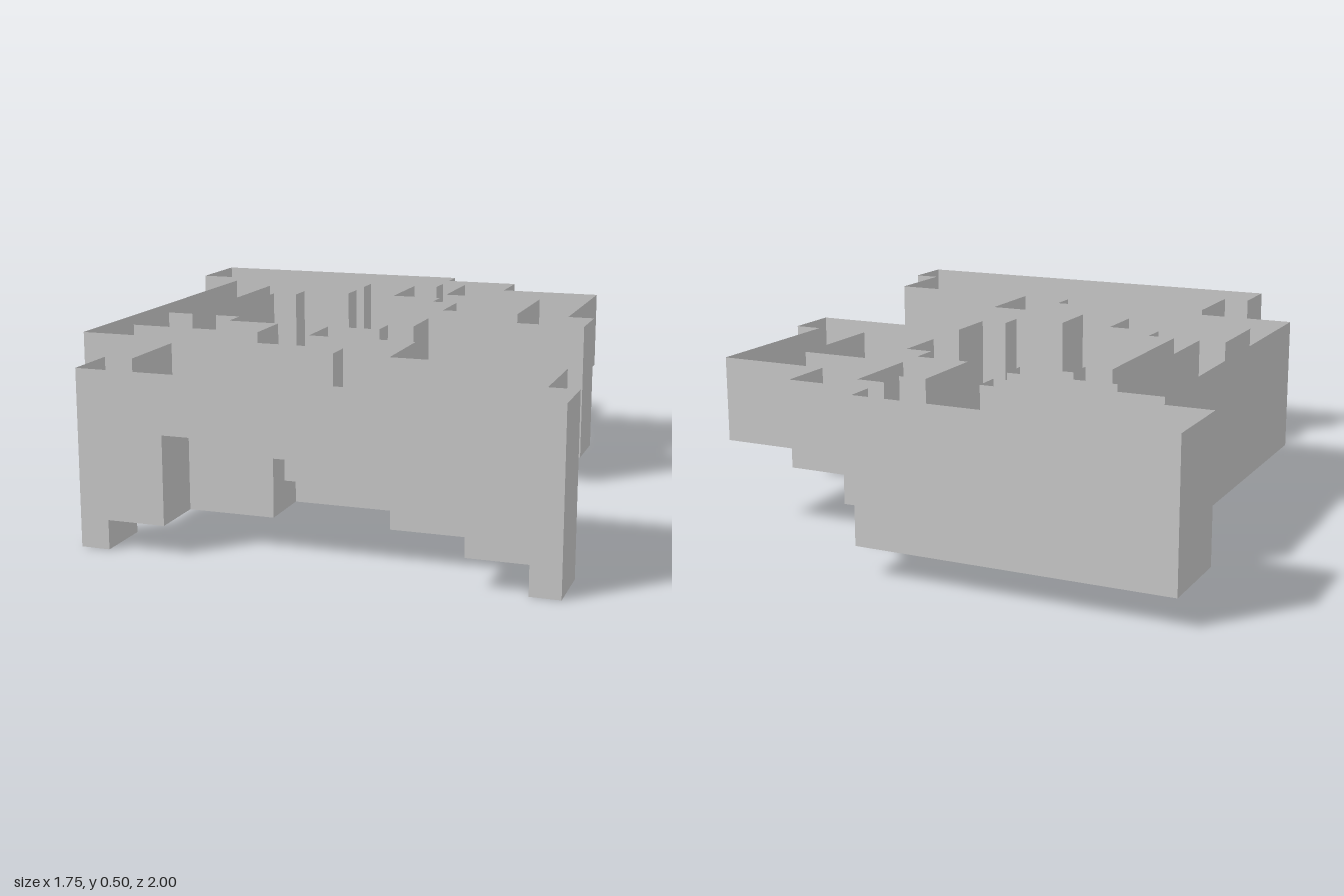
import * as THREE from 'three';
import { mergeGeometries } from 'three/addons/utils/BufferGeometryUtils.js';

const U = 1 / 12;          // one grid cell
const COLS = 21, ROWS = 24; // plan size in cells
const WALL_TOP = 6;

// Open-topped rooms on a square plan: name, x0, z0, x1, z1, floor level (later ones replace earlier cells)
const AREAS = [
  ['backRoom', 0, 0, 11, 3, 1],
  ['backPassage', 8, 3, 10, 6, 1],
  ['centralRoom', 6, 6, 12, 14, 1],
  ['centralRoom', 5, 7, 13, 13, 1],
  ['frontPassage', 8, 14, 10, 16, 1],
  ['crossCorridor', 2, 16, 14, 18, 1],
  ['hallEntrance', 12, 18, 14, 19, 1],
  // corridor with a raised ledge and its step
  ['sideCorridor', 2, 4, 8, 5, 1],
  ['sideCorridor', 2, 5, 4, 8, 1],
  ['sideCorridor', 2, 8, 3, 16, 1],
  ['ledgeStep', 3, 8, 4, 9, 2],
  ['ledge', 3, 9, 4, 13, 3],
  // raised winding corridor with a step at each end
  ['alcove', 13, 9, 19, 11, 1],
  ['lowerStep', 16, 8, 18, 9, 2],
  ['raisedCorridor', 16, 5, 18, 8, 3],
  ['raisedCorridor', 12, 3, 18, 5, 3],
  ['raisedCorridor', 12, 1, 14, 3, 3],
  ['doorStep', 11, 1, 12, 2, 2],
  // front hall with stage, stairs and sunken corners
  ['frontHall', 6, 19, 20, 24, 1],
  ['sunkenCornerRight', 5, 22, 6, 24, 0],
  ['sunkenCornerLeft', 20, 22, 21, 24, 0],
  ['stage', 8, 22, 18, 24, 4],
  ['lowerStair', 11, 20, 15, 21, 2],
  ['upperStair', 11, 21, 15, 22, 3],
];

// Flat sheet of w by h cells centred at a grid position
function sheet(w, h, rotX, rotY, x, y, z) {
  return new THREE.PlaneGeometry(w * U, h * U)
    .rotateX(rotX).rotateY(rotY)
    .translate((x - COLS / 2) * U, y * U, (z - ROWS / 2) * U);
}

export function createModel() {
  const group = new THREE.Group();
  const material = new THREE.MeshStandardMaterial({
    color: 0xcccccc, flatShading: true, side: THREE.DoubleSide,
  });

  // Lay the areas onto the plan
  const plan = new Map();
  for (const [name, x0, z0, x1, z1, level] of AREAS)
    for (let x = x0; x < x1; x++)
      for (let z = z0; z < z1; z++) plan.set(`${x},${z}`, { name, x, z, level });

  // Every cell gets a floor, risers down to lower neighbours and outer walls
  const parts = {};
  for (const { name, x, z, level } of plan.values()) {
    const list = (parts[name] ??= []);
    const cx = x + 0.5, cz = z + 0.5;
    list.push(sheet(1, 1, -Math.PI / 2, 0, cx, level, cz));
    for (const [dx, dz] of [[1, 0], [-1, 0], [0, 1], [0, -1]]) {
      const next = plan.get(`${x + dx},${z + dz}`);
      const other = next ? next.level : WALL_TOP;
      if (next && other >= level) continue;
      list.push(sheet(1, Math.abs(other - level), 0, Math.atan2(dx, dz),
        cx + dx / 2, (other + level) / 2, cz + dz / 2));
    }
  }

  for (const [name, list] of Object.entries(parts)) {
    const mesh = new THREE.Mesh(mergeGeometries(list), material);
    mesh.name = name;
    group.add(mesh);
  }
  return group;
}
